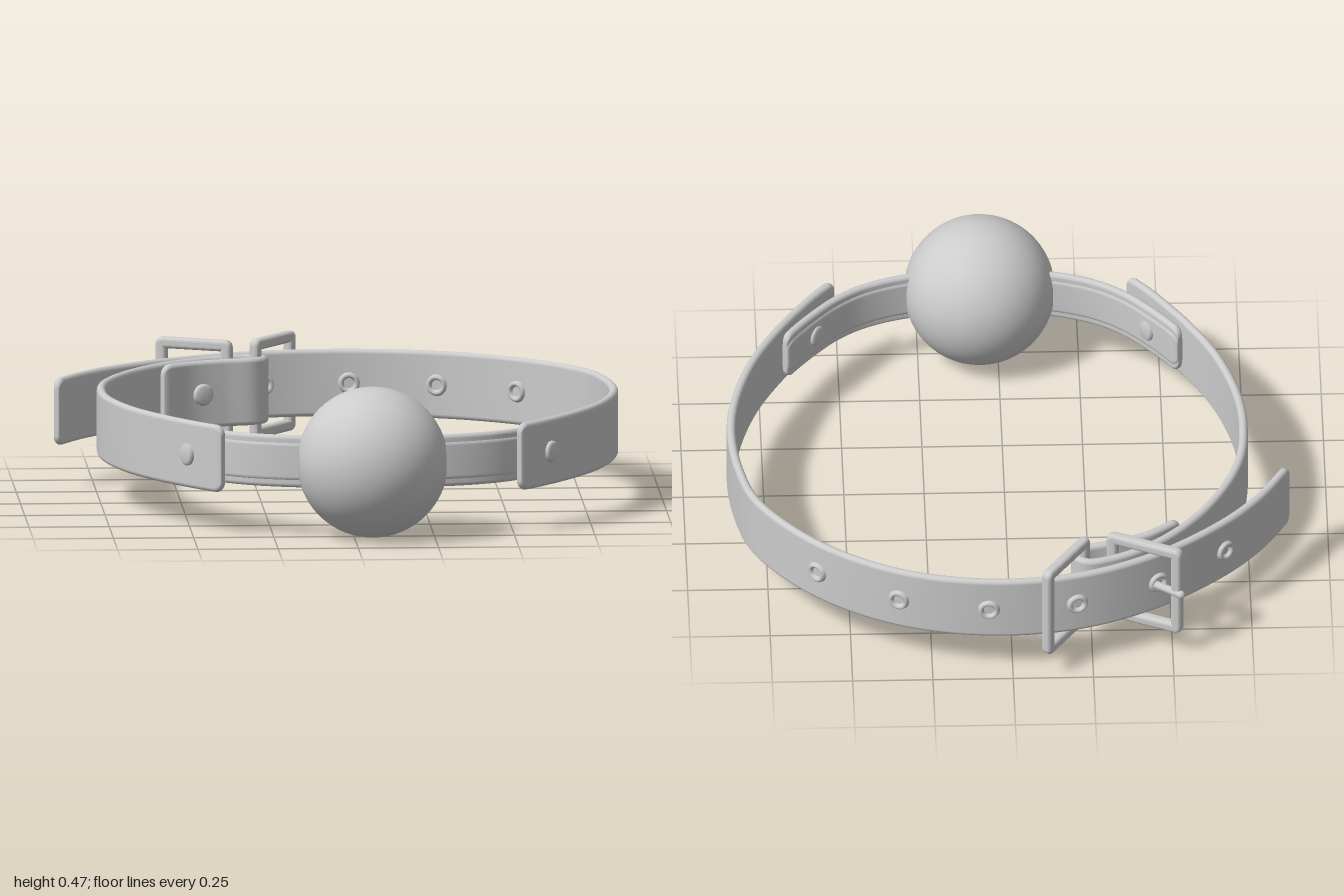
import * as THREE from 'three';

const MID_Y = 0.24;   // height of the strap centre line
const MID_X = 0.057;  // mirror axis of the ring
const mat = new THREE.MeshStandardMaterial({ color: 0xcccccc, roughness: 0.6 });

function add(parent, name, geometry) {
  const mesh = new THREE.Mesh(geometry, mat);
  mesh.name = name;
  parent.add(mesh);
  return mesh;
}

const makeCurve = (pts) => new THREE.CatmullRomCurve3(pts.map(([x, z]) => new THREE.Vector3(x, MID_Y, z)));
const mirror = (pts) => pts.map(([x, z]) => [2 * MID_X - x, z]);

// Band swept along a curve: stadium cross-section, rounded corners at both ends
function bandGeometry(curve, halfHeight, halfThick, corner = 0.03) {
  const length = curve.getLength(), steps = 150, ends = 7, arc = 8;
  const dist = [];
  for (let i = 0; i < ends; i++) dist.push(corner * (1 - Math.cos((i / ends) * Math.PI / 2)));
  const tail = dist.map((d) => length - d).reverse();
  for (let i = 0; i <= steps; i++) dist.push(corner + (length - 2 * corner) * i / steps);
  dist.push(...tail);

  const pos = [], index = [], ring = 2 * (arc + 1), up = new THREE.Vector3(0, 1, 0);
  dist.forEach((d) => {
    const u = Math.min(1, Math.max(0, d / length));
    const p = curve.getPointAt(u);
    const n = curve.getTangentAt(u).cross(up).normalize();
    const e = Math.min(d, length - d, corner);
    const round = Math.sqrt(Math.max(0, corner ** 2 - (corner - e) ** 2));
    const h = halfHeight - corner + round;
    const t = halfThick * (0.5 + 0.5 * round / corner);
    for (let j = 0; j < ring; j++) {
      const top = j <= arc;
      const a = Math.PI * (top ? j : j - 1) / arc;
      const y = (top ? 1 : -1) * (h - t) + t * Math.sin(a);
      pos.push(p.x + n.x * t * Math.cos(a), p.y + y, p.z + n.z * t * Math.cos(a));
    }
  });
  const rows = dist.length;
  for (let i = 0; i < rows - 1; i++) {
    for (let j = 0; j < ring; j++) {
      const k = (j + 1) % ring, a = i * ring, b = a + ring;
      index.push(a + j, b + j, a + k, a + k, b + j, b + k);
    }
  }
  const last = (rows - 1) * ring;
  for (let j = 1; j < ring - 1; j++) index.push(0, j, j + 1, last, last + j + 1, last + j);
  const g = new THREE.BufferGeometry();
  g.setAttribute('position', new THREE.Float32BufferAttribute(pos, 3));
  g.setIndex(index);
  g.computeVertexNormals();
  return g;
}

// Low domed disc on both sides of a short pin, axis along z
function rivetGeometry(halfLength) {
  const r = 0.034, b = 0.008;
  const profile = [[0, -halfLength], [r - b, -halfLength], [r, b - halfLength],
    [r, halfLength - b], [r - b, halfLength], [0, halfLength]];
  return new THREE.LatheGeometry(profile.map(([x, y]) => new THREE.Vector2(x, y)), 28).rotateX(Math.PI / 2);
}

// Rectangular wire frame standing between two plan points
function addFrame(parent, name, [x0, z0], [x1, z1]) {
  const w = Math.hypot(x1 - x0, z1 - z0) / 2, h = 0.157, bevel = 0.012;
  const rect = (target, a, b, r) => {
    target.moveTo(-a + r, -b);
    target.lineTo(a - r, -b).quadraticCurveTo(a, -b, a, -b + r);
    target.lineTo(a, b - r).quadraticCurveTo(a, b, a - r, b);
    target.lineTo(-a + r, b).quadraticCurveTo(-a, b, -a, b - r);
    target.lineTo(-a, -b + r).quadraticCurveTo(-a, -b, -a + r, -b);
    return target;
  };
  const shape = rect(new THREE.Shape(), w - bevel, h - bevel, 0.012);
  shape.holes.push(rect(new THREE.Path(), w - 0.024, h - 0.024, 0.006));
  const g = new THREE.ExtrudeGeometry(shape, {
    depth: 0.01, bevelSize: bevel, bevelThickness: bevel, bevelSegments: 4, curveSegments: 5,
  }).translate(0, 0, -0.005);
  const mesh = add(parent, name, g);
  mesh.position.set((x0 + x1) / 2, MID_Y + 0.003, (z0 + z1) / 2);
  mesh.rotation.y = -Math.atan2(z1 - z0, x1 - x0);
}

export function createModel() {
  const model = new THREE.Group();
  model.name = 'strapWithBall';

  // Ball with small flats where the strap enters
  const ballGeo = new THREE.SphereGeometry(0.235, 64, 48);
  const bp = ballGeo.attributes.position;
  for (let i = 0; i < bp.count; i++) bp.setX(i, THREE.MathUtils.clamp(bp.getX(i), -0.228, 0.228));
  add(model, 'ball', ballGeo).position.set(MID_X, MID_Y, 0.76);

  // Narrow strap through the ball, with a raised centre
  const half = [[0.672, 0.415], [0.63, 0.475], [0.583, 0.535], [0.51, 0.615], [0.42, 0.68], [0.285, 0.73]];
  const frontCurve = makeCurve([...half, [MID_X, 0.755], ...mirror(half).reverse()]);
  add(model, 'frontStrap', bandGeometry(frontCurve, 0.082, 0.013));
  add(model, 'frontStrapRib', bandGeometry(frontCurve, 0.064, 0.017));

  // Wide straps share the same front run, mirrored
  const side = [[0.518, 0.675], [0.565, 0.62], [0.612, 0.555], [0.70, 0.415], [0.78, 0.25], [0.837, 0.05],
    [0.854, -0.12], [0.835, -0.32]];
  const longCurve = makeCurve([...side, [0.78, -0.5], [0.595, -0.73], [0.346, -0.885], [0.07, -0.945],
    [-0.2, -0.92], [-0.446, -0.815], [-0.66, -0.65], [-0.78, -0.51], [-0.87, -0.355]]);
  add(model, 'longStrap', bandGeometry(longCurve, 0.106, 0.014));

  // Short strap folds back around the buckle bars
  const shortCurve = makeCurve([...mirror(side), [-0.64, -0.52], [-0.53, -0.675], [-0.41, -0.78], [-0.31, -0.83],
    [-0.235, -0.845], [-0.198, -0.812], [-0.23, -0.775], [-0.33, -0.745], [-0.43, -0.702], [-0.525, -0.63]]);
  add(model, 'shortStrap', bandGeometry(shortCurve, 0.106, 0.014));

  // Rivets at the two front joints and at the fold
  const rivets = [[0.598, 0.546, 0.83, 0.56, 0.044], [2 * MID_X - 0.598, 0.546, -0.83, 0.56, 0.044],
    [-0.41, -0.735, 0.45, 0.89, 0.05]];
  rivets.forEach(([x, z, nx, nz, len]) => {
    const rivet = add(model, 'rivet', rivetGeometry(len));
    rivet.position.set(x, MID_Y, z);
    rivet.rotation.y = Math.atan2(nx, nz);
  });

  // Eyelets along the long strap, turned to its direction
  const samples = longCurve.getSpacedPoints(400);
  const eyelets = [[0.595, -0.73], [0.346, -0.885], [0.07, -0.945], [-0.2, -0.92], [-0.446, -0.815], [-0.66, -0.65]];
  eyelets.forEach(([x, z]) => {
    let best = 0;
    const away = (p) => Math.hypot(p.x - x, p.z - z);
    samples.forEach((p, i) => { if (away(p) < away(samples[best])) best = i; });
    const t = longCurve.getTangentAt(best / 400);
    const eyelet = add(model, 'eyelet', new THREE.TorusGeometry(0.025, 0.011, 12, 28));
    eyelet.position.copy(samples[best]);
    eyelet.rotation.y = Math.atan2(-t.z, t.x);
    eyelet.scale.z = 2.4;
  });

  // Buckle, keeper frame and prong
  addFrame(model, 'keeperFrame', [-0.235, -0.79], [-0.1, -0.995]);
  addFrame(model, 'buckleFrame', [-0.53, -0.883], [-0.3, -0.775]);
  const prongPath = new THREE.CatmullRomCurve3([[-0.315, -0.785], [-0.38, -0.8], [-0.45, -0.84], [-0.525, -0.895]]
    .map(([x, z]) => new THREE.Vector3(x, MID_Y, z)));
  add(model, 'prong', new THREE.TubeGeometry(prongPath, 24, 0.013, 12));
  const tip = add(model, 'prongTip', new THREE.SphereGeometry(0.013, 12, 10));
  tip.position.set(-0.525, MID_Y, -0.895);

  return model;
}
